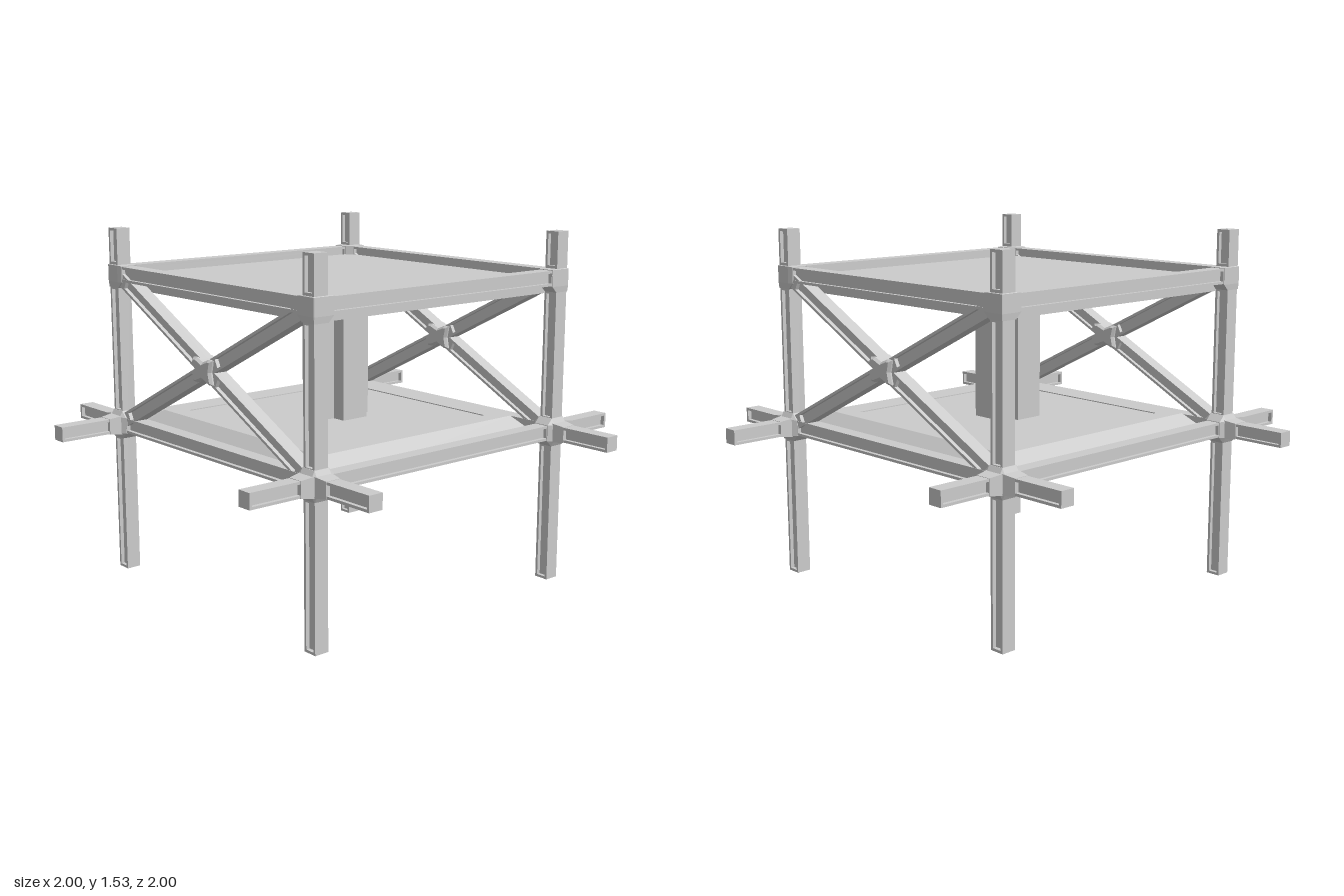
import * as THREE from 'three';
import { ConvexGeometry } from 'three/addons/geometries/ConvexGeometry.js';

const mat = new THREE.MeshStandardMaterial({ color: 0xcccccc, flatShading: true, side: THREE.DoubleSide });
const W = 0.065;   // beam width
const P = 0.665;   // post offset from the centre
const LOW = 0.67, HIGH = 1.34;

function mesh(name, geometry, parent) {
  const m = new THREE.Mesh(geometry, mat);
  m.name = name;
  parent.add(m);
  return m;
}

function polygon(points, Type = THREE.Shape) {
  return new Type(points.map(([x, y]) => new THREE.Vector2(x, y)));
}

function rect(x0, x1, y0, y1) {
  return [[x0, y0], [x1, y0], [x1, y1], [x0, y1]];
}

function extrude(points, holes, depth) {
  const shape = polygon(points);
  for (const h of holes) shape.holes.push(polygon(h, THREE.Path));
  return new THREE.ExtrudeGeometry(shape, { depth, bevelEnabled: false });
}

// Horizontal plate with holes, lying between two heights
function plate(name, points, holes, y0, y1, parent) {
  const g = extrude(points, holes, y1 - y0).rotateX(-Math.PI / 2).translate(0, y0, 0);
  return mesh(name, g, parent);
}

// Beam along local x from a to b, with sunken panels on both z faces
function beam(name, a, b, spans, parent, w = W) {
  const g = new THREE.Group();
  g.name = name;
  const m = w / 2 - 0.011;
  const holes = spans.map(([s, e]) => rect(s, e, -m, m));
  mesh('beamFrame', extrude(rect(a, b, -w / 2, w / 2), holes, w).translate(0, 0, -w / 2), g);
  for (const [s, e] of spans) {
    mesh('beamWeb', new THREE.BoxGeometry(e - s, 2 * m, w - 0.034).translate((s + e) / 2, 0, 0), g);
  }
  parent.add(g);
  return g;
}

// Square cross-section corners at distance d along an axis
function section(axis, d, h) {
  const pts = [];
  for (const u of [-h, h]) for (const v of [-h, h]) {
    const p = [u, v];
    p.splice(axis, 0, d);
    pts.push(new THREE.Vector3(...p));
  }
  return pts;
}

export function createModel() {
  const model = new THREE.Group();
  model.name = 'platformFrame';
  const turn = -Math.PI / 2;

  for (const sx of [-1, 1]) for (const sz of [-1, 1]) {
    // Corner posts
    const post = beam('post', 0, 1.535, [[0.011, 0.6], [0.735, 1.27], [1.39, 1.524]], model);
    post.rotation.set(0, turn, Math.PI / 2);
    post.position.set(sx * P, 0, sz * P);

    // Faceted joints
    for (const y of [LOW, HIGH]) {
      const low = y === LOW;
      const pts = [
        ...section(0, -sx * 0.062, 0.035), ...section(2, -sz * 0.062, 0.035),
        ...section(1, -0.062, 0.035), ...section(1, low ? 0.062 : 0.038, 0.035),
        ...section(0, sx * (low ? 0.05 : 0.038), 0.036), ...section(2, sz * (low ? 0.05 : 0.038), 0.036),
      ];
      mesh(low ? 'lowerJoint' : 'upperJoint', new ConvexGeometry(pts), model).position.set(sx * P, y, sz * P);
      // Tapered collars on the projecting beam ends
      if (low) for (const [axis, s] of [[0, sx], [2, sz]]) {
        const c = new ConvexGeometry([...section(axis, s * 0.035, 0.043), ...section(axis, s * 0.1, 0.034)]);
        mesh('collar', c, model).position.set(sx * P, y, sz * P);
      }
    }
  }

  // Horizontal beams, the lower ones running past the posts
  const lowSpans = [[-0.989, -0.715], [-0.6, 0.6], [0.715, 0.989]];
  for (const s of [-1, 1]) {
    beam('lowerCrossBeam', -1, 1, lowSpans, model).position.set(0, LOW, s * P);
    beam('upperCrossBeam', -P, P, [[-0.6, 0.6]], model).position.set(0, HIGH, s * P);
    const lower = beam('lowerSideBeam', -1, 1, lowSpans, model);
    lower.rotation.y = turn;
    lower.position.set(s * P, LOW, 0);
    const upper = beam('upperSideBeam', -P, P, [[-0.6, 0.6]], model);
    upper.rotation.y = turn;
    upper.position.set(s * P, HIGH, 0);

    // Crossed side braces
    const angle = Math.atan2(HIGH - LOW, 2 * P);
    for (const k of [-1, 1]) {
      const brace = beam('brace', -0.73, 0.73, [[-0.65, -0.09], [0.09, 0.65]], model, 0.06);
      brace.rotation.set(0, turn, k * angle);
      brace.position.set(s * P, (LOW + HIGH) / 2, 0);
    }
    // Bow-tie joint where the braces cross
    const bow = [[-0.066, -0.05], [-0.04, -0.052], [0, -0.036], [0.04, -0.052], [0.066, -0.05], [0.055, 0],
      [0.066, 0.05], [0.04, 0.052], [0, 0.036], [-0.04, 0.052], [-0.066, 0.05], [-0.055, 0]];
    const bowGeo = new THREE.ExtrudeGeometry(polygon(bow),
      { depth: 0.074, bevelThickness: 0.011, bevelSize: 0.01, bevelOffset: -0.01, bevelSegments: 1 });
    const joint = mesh('braceJoint', bowGeo.translate(0, 0, -0.037), model);
    joint.rotation.y = turn;
    joint.position.set(s * P, (LOW + HIGH) / 2, 0);
  }

  // Upper deck
  mesh('upperDeck', new THREE.BoxGeometry(1.27, 0.065, 1.27), model).position.y = 1.3025;

  // Lower floor: sloped skirt, rim and sunken middle
  const skirt = new THREE.CylinderGeometry(0.54 * Math.SQRT2, 0.635 * Math.SQRT2, 0.095, 4, 1, true);
  mesh('floorSkirt', skirt.rotateY(Math.PI / 4).translate(0, 0.6835, 0), model);
  plate('floorRim', rect(-0.54, 0.54, -0.54, 0.54), [rect(-0.46, 0.46, -0.46, 0.46)], 0.718, 0.731, model);

  // Hollow cross-shaped column, open through the floor
  const cross = (a, b) => [[a, -b], [a, b], [b, b], [b, a], [-b, a], [-b, b],
    [-a, b], [-a, -b], [-b, -b], [-b, -a], [b, -a], [b, -b]];
  const inner = cross(0.12, 0.056);
  plate('floorPanel', rect(-0.46, 0.46, -0.46, 0.46), [inner], 0.714, 0.727, model);
  plate('column', cross(0.131, 0.066), [inner], 0.72, 1.272, model);

  return model;
}
